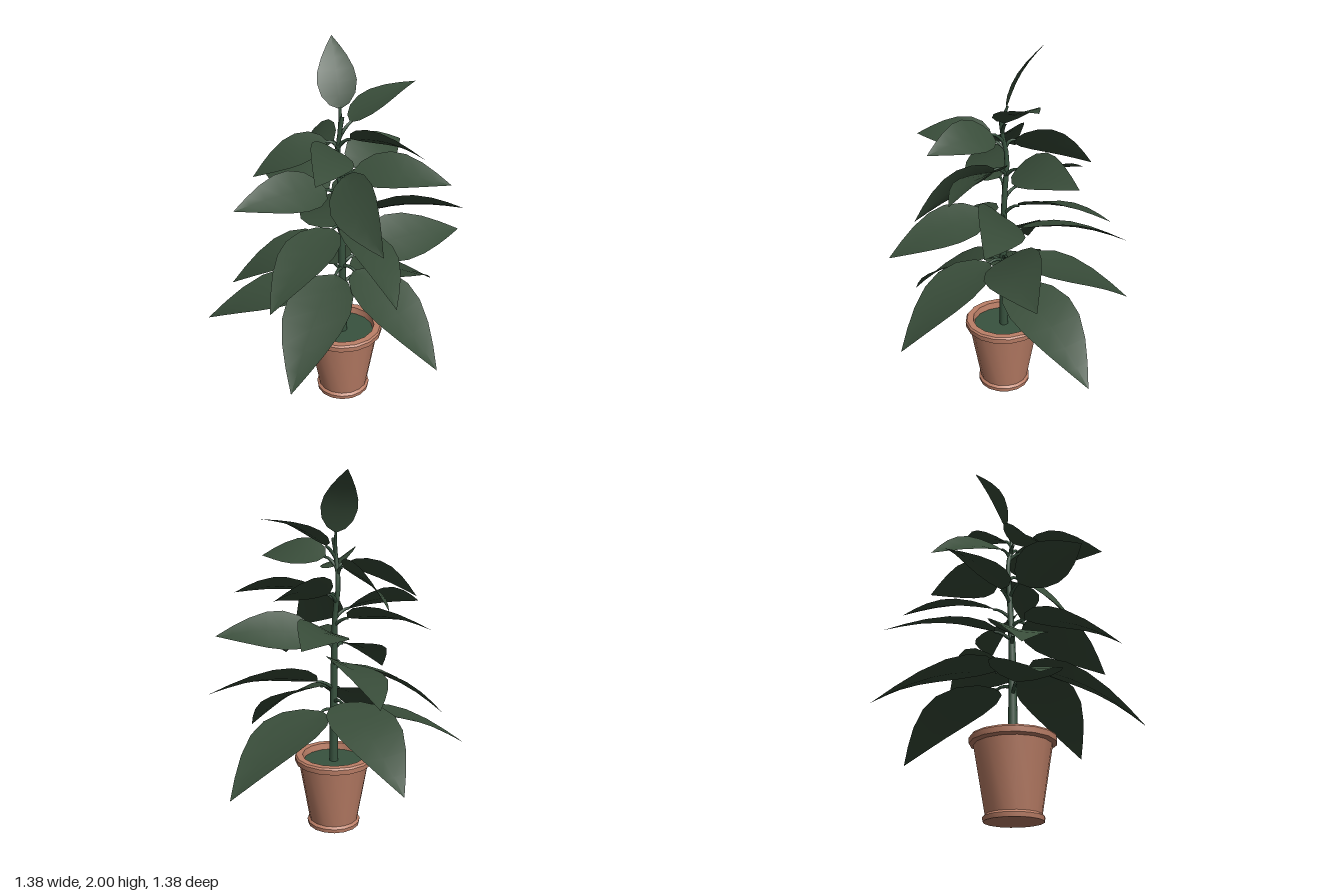
import * as THREE from 'three';
import { toCreasedNormals } from 'three/addons/utils/BufferGeometryUtils.js';

const V = (x, y, z) => new THREE.Vector3(x, y, z);

// Each leaf: blade height at the stem, tip x, y, z, and sideways roll; lowest tier first
const LEAVES = [
  [0.75, 0, 0.4, -0.69, 0], [0.86, 0.69, 0.45, 0.05, 0], [0.85, 0.3, 0.42, 0.69, 0],
  [0.71, -0.49, 0.47, 0.65, -0.1], [0.8, -0.69, 0.47, -0.18, 0.04],
  [0.99, -0.43, 0.67, 0.51, -0.2], [1.01, -0.59, 0.9, -0.25, -0.35], [0.87, 0.26, 0.88, -0.6, 0.48],
  [1.1, 0.15, 0.81, 0.68, 0], [1.11, 0.62, 0.89, 0.29, -0.38],
  [1.11, 0.43, 1.13, -0.41, -0.7], [1.15, -0.28, 1.17, -0.46, -0.35],
  [1.23, -0.58, 1.22, 0.16, -0.42], [1.27, -0.13, 1.26, 0.66, -0.6],
  [1.38, 0.48, 1.09, 0.24, 1.15], [1.36, 0.5, 1.34, -0.21, 0.42], [1.36, -0.08, 1.38, -0.45, 0.7],
  [1.52, -0.47, 1.33, -0.05, -0.95], [1.55, -0.28, 1.33, 0.43, -0.5],
  [1.55, 0.5, 1.53, 0, -0.7], [1.5, 0.31, 1.48, 0.51, -0.55],
  [1.59, 0.1, 1.76, -0.36, 0], [1.62, -0.17, 2, -0.02, -0.2],
];

// Half-width of the blade along its length
const OUTLINE = [[0, 0], [0.06, 0.5], [0.18, 0.86], [0.34, 1], [0.5, 0.92], [0.68, 0.66], [0.84, 0.35], [1, 0]];

// Curved blade with a shallow fold along the midrib, sized by its length
function leafGeometry(base, tip, roll) {
  const dir = tip.clone().sub(base);
  const length = dir.length(), halfWidth = length * 0.26;
  dir.normalize();
  const level = dir.clone().cross(V(0, 1, 0)).normalize();
  const up = level.clone().cross(dir).addScaledVector(level, roll).normalize();
  const side = dir.clone().cross(up);
  const last = OUTLINE.length - 1, pos = [], index = [];
  OUTLINE.forEach(([u, w], i) => {
    const mid = base.clone().lerp(tip, u).addScaledVector(up, length * 0.07 * Math.sin(Math.PI * u));
    for (const s of [-1, 0, 1]) {
      const p = mid.clone().addScaledVector(side, s * w * halfWidth);
      p.addScaledVector(up, Math.abs(s) * w * halfWidth * 0.14);
      pos.push(p.x, p.y, p.z);
    }
    if (i === 0) return;
    for (let c = 0; c < 2; c++) {
      const a = (i - 1) * 3 + c, d = i * 3 + c;
      if (i > 1) index.push(a, a + 1, d + 1);
      if (i < last) index.push(a, d + 1, d);
    }
  });
  const g = new THREE.BufferGeometry();
  g.setAttribute('position', new THREE.Float32BufferAttribute(pos, 3));
  g.setIndex(index);
  g.computeVertexNormals();
  return g;
}

// Tube whose radius shrinks from r0 to r1
function taperedTube(curve, segments, r0, r1, sides) {
  const g = new THREE.TubeGeometry(curve, segments, 1, sides);
  const p = g.attributes.position, v = V(0, 0, 0);
  for (let i = 0; i < p.count; i++) {
    const u = Math.floor(i / (sides + 1)) / segments;
    const c = curve.getPointAt(u);
    v.fromBufferAttribute(p, i).sub(c).multiplyScalar(r0 + (r1 - r0) * u).add(c);
    p.setXYZ(i, v.x, v.y, v.z);
  }
  return g;
}

export function createModel() {
  const root = new THREE.Group();
  const material = (name, color) => {
    const m = new THREE.MeshStandardMaterial({ color });
    m.name = name;
    return m;
  };
  const leafGreen = material('leaf green', 0x384c39);
  leafGreen.side = THREE.DoubleSide;
  const stemGreen = material('stem green', 0x38533f);
  const terracotta = material('terracotta', 0xbc7f67);
  const add = (name, geometry, mat, parent = root) => {
    const m = new THREE.Mesh(geometry, mat);
    m.name = name;
    parent.add(m);
    return m;
  };

  // Pot: foot ring, tapered wall, bevelled rim, hollow inside
  const profile = [[0, 0], [0.15, 0], [0.153, 0.022], [0.14, 0.034], [0.2, 0.375],
    [0.222, 0.384], [0.224, 0.412], [0.216, 0.422], [0.18, 0.422], [0.172, 0.37]];
  const pot = toCreasedNormals(
    new THREE.LatheGeometry(profile.map(([x, y]) => new THREE.Vector2(x, y)), 16), 0.6);
  add('pot', pot, terracotta).position.set(0.02, 0, 0.09);

  // Soil surface
  const soil = new THREE.CircleGeometry(0.178, 16).rotateX(-Math.PI / 2);
  add('soil', soil, stemGreen).position.set(0.02, 0.385, 0.09);

  // Main stem
  const stemPath = new THREE.CatmullRomCurve3([V(0.02, 0.36, 0.09), V(0.02, 0.9, 0.09),
    V(0.01, 1.22, 0.085), V(-0.008, 1.4, 0.09), V(0.015, 1.54, 0.1), V(0.03, 1.65, 0.09)]);
  add('stem', taperedTube(stemPath, 18, 0.026, 0.01, 8), stemGreen);
  const samples = stemPath.getSpacedPoints(100);
  const stemAt = (y) => samples.reduce((a, p) => (Math.abs(p.y - y) < Math.abs(a.y - y) ? p : a));

  // Leaves, each on a short rising stalk that is longer lower down
  const foliage = new THREE.Group();
  foliage.name = 'foliage';
  root.add(foliage);
  for (const [height, x, y, z, roll] of LEAVES) {
    const tip = V(x, y, z), origin = stemAt(height);
    const outward = tip.clone().sub(origin).normalize();
    const base = origin.clone().addScaledVector(outward, 0.15 - 0.055 * height);
    add('leaf', leafGeometry(base, tip, roll), leafGreen, foliage);
    const bend = origin.clone().lerp(base, 0.6);
    const end = base.clone().addScaledVector(outward, 0.01);
    const stalk = new THREE.QuadraticBezierCurve3(stemAt(height - 0.06), bend, end);
    add('leafStalk', taperedTube(stalk, 4, 0.011, 0.007, 6), stemGreen, foliage);
  }
  return root;
}
